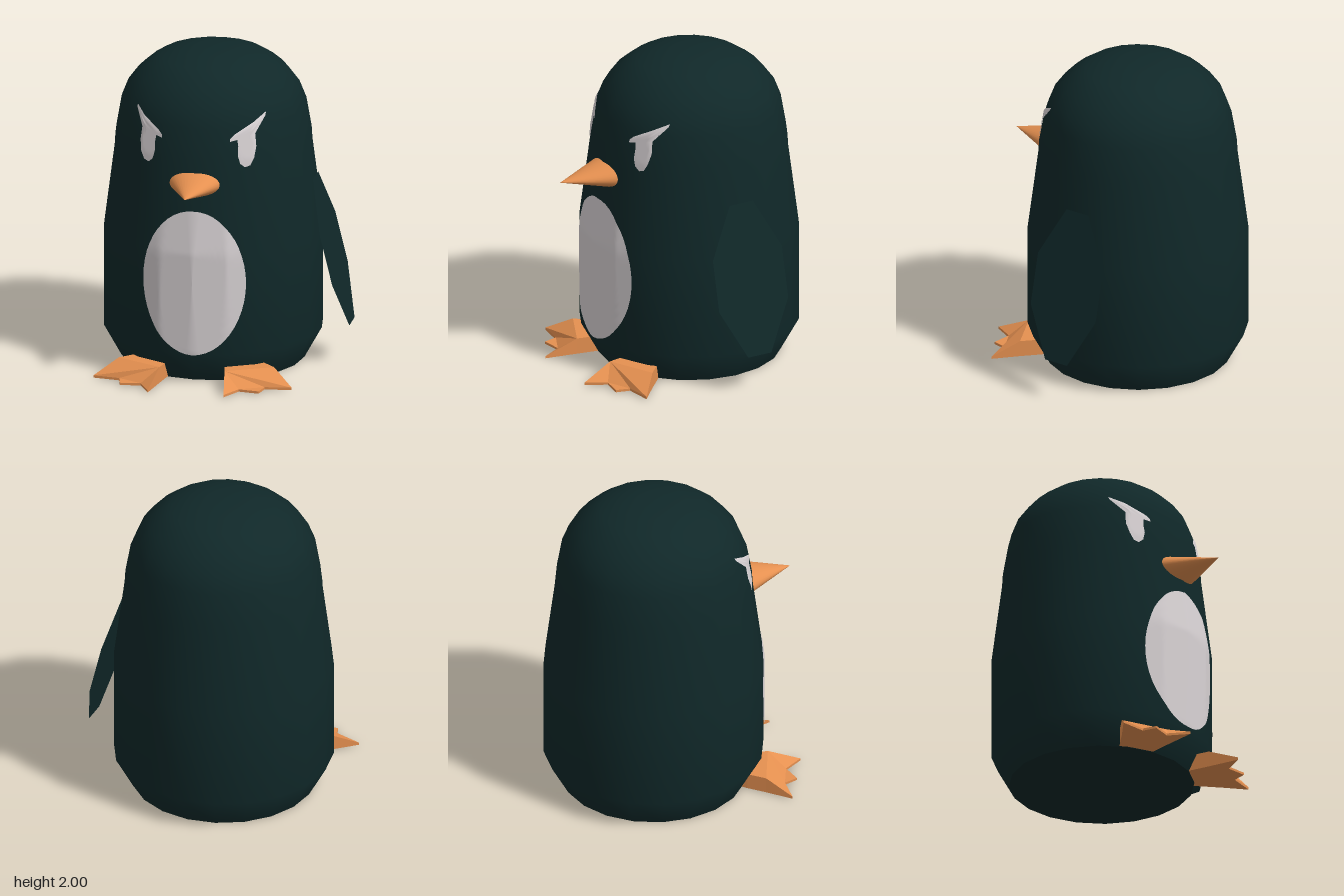
import * as THREE from 'three';

const mat = (name, color, side = THREE.FrontSide) => {
  const m = new THREE.MeshStandardMaterial({ color, side });
  m.name = name;
  return m;
};

// body profile: radius, height
const PROFILE = [
  [0.575, 0], [0.685, 0.2], [0.685, 0.85], [0.618, 1.37], [0.613, 1.45], [0.58, 1.64], [0.537, 1.75],
  [0.47, 1.84], [0.4, 1.9], [0.33, 1.945], [0.21, 1.985], [0.1, 1.999], [0, 2],
];
const SIDES = 20;

function radiusAt(y) {
  const i = Math.max(1, PROFILE.findIndex((p) => p[1] >= y));
  const [r0, y0] = PROFILE[i - 1], [r1, y1] = PROFILE[i];
  return r0 + ((r1 - r0) * (y - y0)) / (y1 - y0);
}

// front z of the faceted body at (x, y)
function surfaceZ(x, y) {
  const r = radiusAt(y), step = (2 * Math.PI) / SIDES, s = Math.min(Math.abs(x) / r, 0.999);
  const a = Math.floor(Math.asin(s) / step) * step, b = a + step;
  const t = (s - Math.sin(a)) / (Math.sin(b) - Math.sin(a));
  return r * (Math.cos(a) + t * (Math.cos(b) - Math.cos(a)));
}

// thin painted patch: star-shaped outline (counter-clockwise) draped over the body
function patch(outline, [cx, cy], rings = 12) {
  const pos = [], index = [], n = outline.length;
  for (let k = 0; k <= rings; k++) {
    for (const [px, py] of outline) {
      const x = cx + ((px - cx) * k) / rings, y = cy + ((py - cy) * k) / rings;
      pos.push(x, y, surfaceZ(x, y) + 0.007);
    }
  }
  for (let k = 0; k < rings; k++) {
    for (let i = 0; i < n; i++) {
      const a = k * n + i, b = k * n + ((i + 1) % n), c = a + n, d = b + n;
      if (k > 0) index.push(a, d, b);
      index.push(a, c, d);
    }
  }
  const g = new THREE.BufferGeometry();
  g.setAttribute('position', new THREE.Float32BufferAttribute(pos, 3));
  g.setIndex(index);
  g.computeVertexNormals();
  return g;
}

// slab on the ground from an (x, z) outline; height(i) gives the top at each corner
function slab(outline, height) {
  const shape = new THREE.Shape(outline.map(([x, z]) => new THREE.Vector2(x, -z)));
  const g = new THREE.ExtrudeGeometry(shape, { depth: 1, bevelEnabled: false });
  g.rotateX(-Math.PI / 2);
  const p = g.attributes.position;
  for (let i = 0; i < p.count; i++) {
    const k = outline.findIndex(([x, z]) => Math.hypot(x - p.getX(i), z - p.getZ(i)) < 1e-4);
    p.setY(i, p.getY(i) > 0.5 ? height(k) : 0.003);
  }
  g.computeVertexNormals();
  return g;
}

export function createModel() {
  const dark = mat('darkFeathers', 0x102829);
  const wingMat = mat('wingFeathers', 0x102829, THREE.DoubleSide);
  const white = mat('paleFeathers', 0xd9d3d5);
  const orange = mat('orange', 0xe59050);

  const model = new THREE.Group();
  model.name = 'bird';
  const bird = new THREE.Group();
  bird.name = 'birdParts';
  bird.position.set(-0.095, 0, -0.125);
  model.add(bird);
  const add = (name, geometry, material) => {
    const m = new THREE.Mesh(geometry, material);
    m.name = name;
    bird.add(m);
    return m;
  };

  // body and flat underside
  add('body', new THREE.LatheGeometry(PROFILE.map(([r, y]) => new THREE.Vector2(r, y)), SIDES), dark);
  const base = new THREE.CircleGeometry(PROFILE[0][0], SIDES);
  base.rotateX(Math.PI / 2);
  add('underside', base, dark);

  // belly
  const oval = [];
  for (let i = 0; i < 48; i++) {
    const a = (i / 48) * 2 * Math.PI;
    oval.push([0.325 * Math.cos(a), 0.66 + 0.465 * Math.sin(a)]);
  }
  add('belly', patch(oval, [0, 0.66], 24), white);

  // beak
  const beak = new THREE.ConeGeometry(1, 0.335, 32, 1, true);
  beak.rotateX(Math.PI / 2);
  beak.scale(0.165, 0.083, 1);
  beak.translate(0, 1.288, 0.7575);
  add('beak', beak, orange);

  // eyes with slanted brows
  const eye = [
    [0.405, 1.715], [0.345, 1.67], [0.24, 1.605], [0.215, 1.58], [0.215, 1.562], [0.256, 1.57],
    [0.263, 1.53], [0.263, 1.47], [0.277, 1.42], [0.305, 1.395], [0.335, 1.405], [0.357, 1.45],
    [0.366, 1.52], [0.357, 1.6], [0.405, 1.695],
  ];

  // feet: flat heel, then webbed toes sloping down to a thin edge
  const toes = [
    [0.205, 0.685], [0.24, 0.89], [0.31, 0.762], [0.438, 0.779], [0.46, 0.689], [0.627, 0.668], [0.492, 0.548],
  ];
  const heel = [[0.17, 0.5], toes[0], toes[6], [0.4, 0.46], [0.34, 0.41]];

  for (const [side, s] of [['left', 1], ['right', -1]]) {
    const flip = (pts) => pts.map(([x, y]) => [s * x, y]);
    const eyeLoop = flip(eye);
    if (s < 0) eyeLoop.reverse();
    add(side + 'Eye', patch(eyeLoop, [s * 0.31, 1.58]), white);
    add(side + 'Toes', slab(flip(toes), (i) => (i === 0 || i === 6 ? 0.105 : 0.018)), orange);
    add(side + 'Heel', slab(flip(heel), () => 0.105), orange);
  }

  // single flat wing, leaning out from the left side
  const wingOutline = [
    [0.083, 1.19], [0.247, 0.88], [0.247, 0.56], [0.083, 0.25],
    [-0.083, 0.25], [-0.247, 0.56], [-0.247, 0.88], [-0.083, 1.19],
  ];
  const wing = new THREE.ShapeGeometry(new THREE.Shape(wingOutline.map(([z, y]) => new THREE.Vector2(-z, y))));
  wing.rotateY(Math.PI / 2);
  const p = wing.attributes.position;
  for (let i = 0; i < p.count; i++) p.setX(i, 0.645 + (1.19 - p.getY(i)) * 0.245);
  wing.computeVertexNormals();
  add('leftWing', wing, wingMat);

  return model;
}
